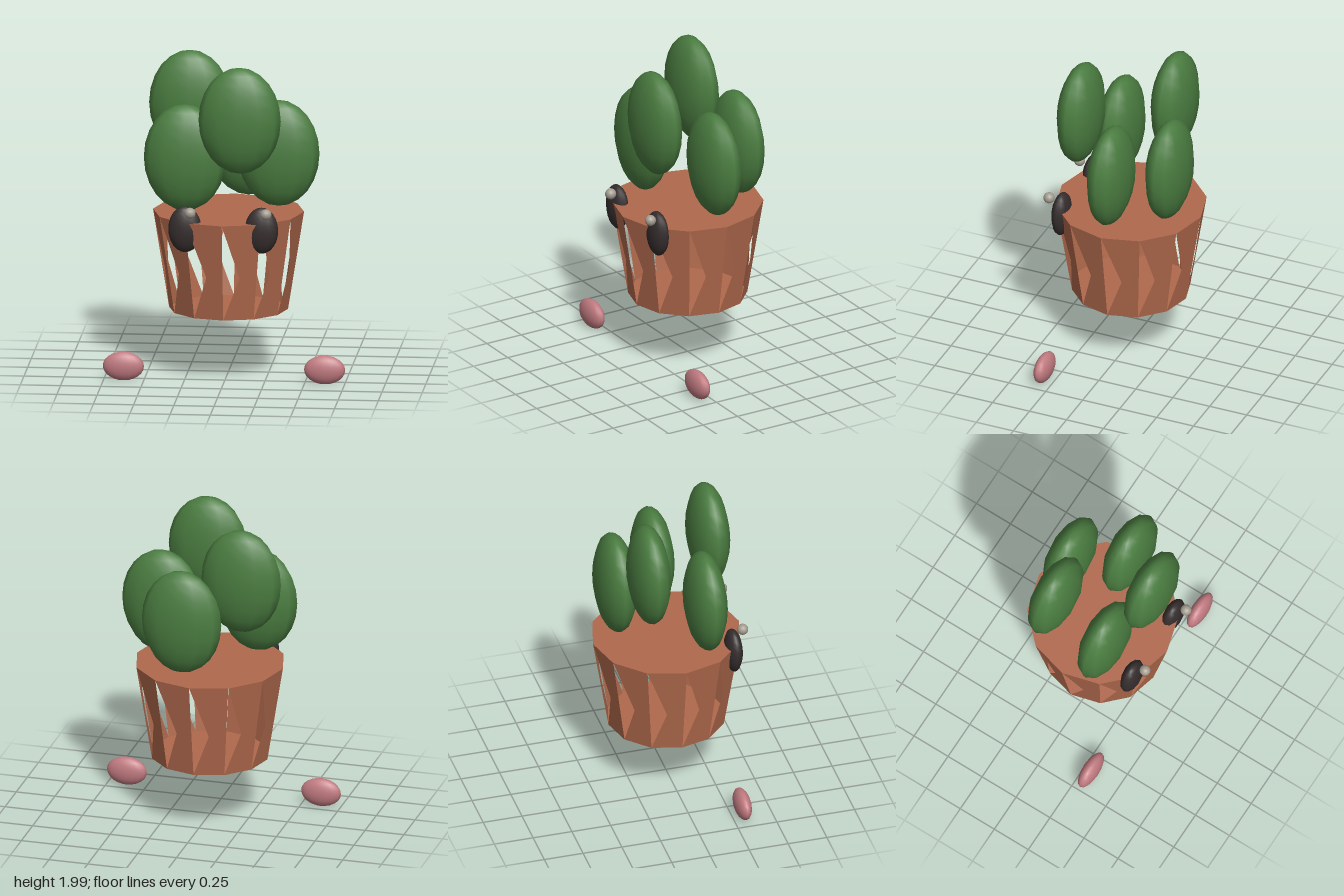
import * as THREE from 'three';

const paint = (color, extra = {}) => new THREE.MeshStandardMaterial({ color, ...extra });

// Stretched sphere, the basic form of everything but the pot
function ellipsoid(name, material, position, radii, segments = [12, 12]) {
  const geometry = new THREE.SphereGeometry(1, ...segments).scale(...radii);
  const mesh = new THREE.Mesh(geometry, material);
  mesh.name = name;
  mesh.position.set(...position);
  return mesh;
}

// Twelve-sided tapered wall: two overlapping triangles per side leave a slit at its left
function potWall(topRadius, bottomRadius, topY, bottomY, sides) {
  const points = [];
  const rim = (i, r, y) => {
    const a = (i / sides) * Math.PI * 2;
    return [r * Math.sin(a), y, r * Math.cos(a)];
  };
  for (let i = 0; i < sides; i++) {
    const topLeft = rim(i, topRadius, topY), topRight = rim(i + 1, topRadius, topY);
    const bottomLeft = rim(i, bottomRadius, bottomY), bottomRight = rim(i + 1, bottomRadius, bottomY);
    points.push(...bottomLeft, ...bottomRight, ...topRight);
    points.push(...topLeft, ...bottomRight, ...topRight);
  }
  const geometry = new THREE.BufferGeometry();
  geometry.setAttribute('position', new THREE.Float32BufferAttribute(points, 3));
  geometry.computeVertexNormals();
  return geometry;
}

export function createModel() {
  const model = new THREE.Group();
  model.name = 'pottedPlant';

  // Pot: wall, soil disc and base disc
  const clay = paint(0xb0694c, { flatShading: true, side: THREE.DoubleSide });
  const pot = new THREE.Group();
  pot.name = 'pot';
  const wall = new THREE.Mesh(potWall(0.47, 0.37, 1.03, 0.41, 12), clay);
  wall.name = 'potWall';
  pot.add(wall);
  for (const [name, radius, y, turn] of [['potTop', 0.47, 1.03, -1], ['potBase', 0.37, 0.41, 1]]) {
    const disc = new THREE.Mesh(new THREE.CircleGeometry(radius, 12), clay);
    disc.name = name;
    disc.rotation.x = turn * Math.PI / 2;
    disc.position.y = y;
    pot.add(disc);
  }
  model.add(pot);

  // Five flat leaf pads in a ring, at two heights
  const green = paint(0x4a7c40);
  const pads = [
    [0.31, 1.4, 0], [0.096, 1.665, 0.297], [-0.255, 1.4, 0.18],
    [-0.255, 1.665, -0.185], [0.096, 1.4, -0.302],
  ];
  pads.forEach((p, i) => model.add(ellipsoid(`leafPad${i + 1}`, green, p, [0.256, 0.336, 0.126])));

  // Eyes with highlights, and feet
  const dark = paint(0x352d2d), shine = paint(0xa39c90), pink = paint(0xc07a80);
  for (const side of [-1, 1]) {
    const label = side > 0 ? 'left' : 'right';
    model.add(ellipsoid(`${label}Eye`, dark, [side * 0.238, 0.985, 0.365], [0.104, 0.146, 0.056]));
    model.add(ellipsoid(`${label}EyeHighlight`, shine, [0.036 + side * 0.236, 1.102, 0.437], [0.035, 0.035, 0.035]));
    model.add(ellipsoid(`${label}Foot`, pink, [side * 0.626, 0.097, 0.312], [0.128, 0.091, 0.051], [16, 12]));
  }
  return model;
}
